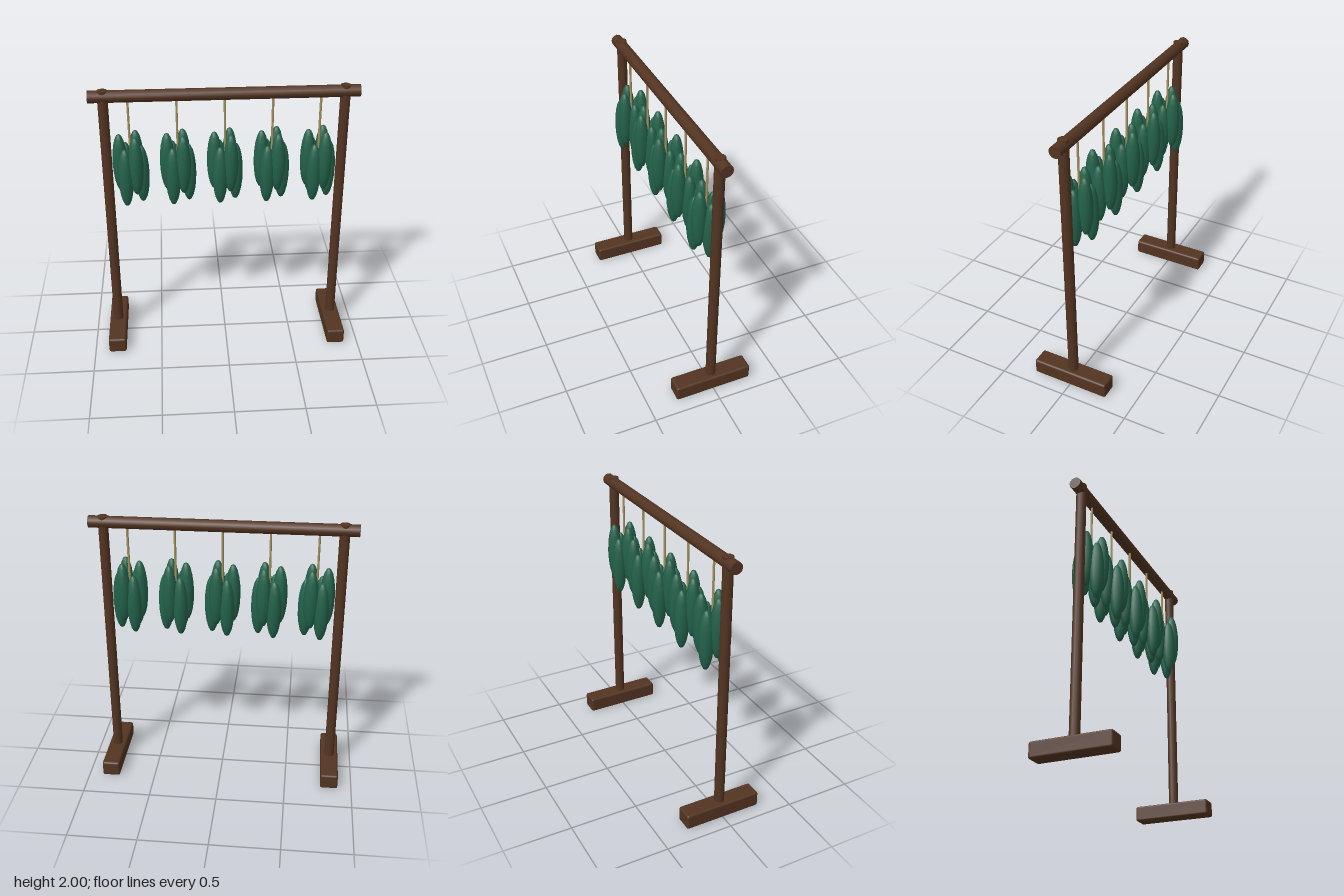
import * as THREE from 'three';
import { RoundedBoxGeometry } from 'three/addons/geometries/RoundedBoxGeometry.js';

const wood = new THREE.MeshStandardMaterial({ color: 0x533421 });
wood.name = 'dark wood';
const leaf = new THREE.MeshStandardMaterial({ color: 0x23624a });
leaf.name = 'leaf green';
const twine = new THREE.MeshStandardMaterial({ color: 0xa8935f });
twine.name = 'tan twine';

function add(parent, name, geometry, material, x, y, z) {
  const mesh = new THREE.Mesh(geometry, material);
  mesh.name = name;
  mesh.position.set(x, y, z);
  parent.add(mesh);
  return mesh;
}

export function createModel() {
  const rack = new THREE.Group();
  rack.name = 'dryingRack';

  // Feet and posts, mirrored
  const footGeo = new RoundedBoxGeometry(0.13, 0.115, 0.58, 2, 0.015);
  const postGeo = new THREE.CylinderGeometry(0.036, 0.036, 1.95, 12);
  for (const [side, label] of [[1, 'left'], [-1, 'right']]) {
    add(rack, label + 'Foot', footGeo, wood, side * 0.832, 0.0575, 0);
    add(rack, label + 'Post', postGeo, wood, side * 0.832, 1.025, 0);
  }

  // Crossbar
  const bar = add(rack, 'crossbar', new THREE.CylinderGeometry(0.043, 0.043, 1.866, 12), wood, 0, 1.956, 0);
  bar.rotation.z = Math.PI / 2;

  // Hanging bundles: a ring of six leaves at alternating heights
  const stringGeo = new THREE.CylinderGeometry(0.009, 0.009, 0.5, 6);
  const leafGeo = new THREE.SphereGeometry(1, 12, 10).scale(0.053, 0.222, 0.053);
  for (let b = -2; b <= 2; b++) {
    const bundle = new THREE.Group();
    bundle.name = 'leafBundle';
    bundle.position.x = b * 0.3325;
    add(bundle, 'string', stringGeo, twine, 0, 1.68, 0);
    for (let i = 0; i < 6; i++) {
      const a = (i * Math.PI) / 3;
      add(bundle, 'leaf', leafGeo, leaf, 0.075 * Math.cos(a), i % 2 ? 1.455 : 1.365, 0.075 * Math.sin(a));
    }
    rack.add(bundle);
  }
  return rack;
}
